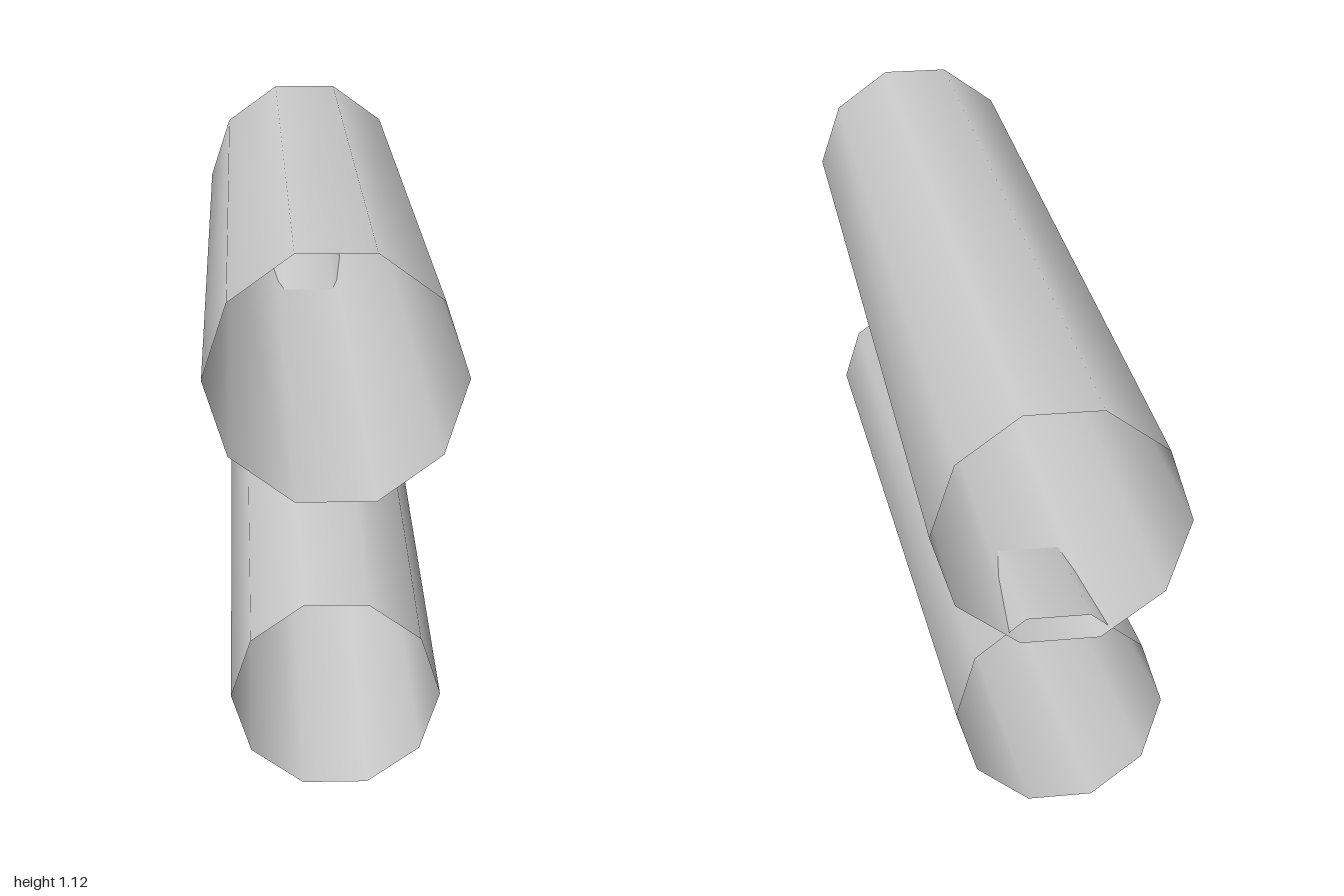
import * as THREE from 'three';

// Open ten-sided tube between two points, with a pair of edges lying level at its sides
function makeTube(name, start, end, radius, material) {
  const axis = new THREE.Vector3().subVectors(end, start);
  const length = axis.length();
  axis.normalize();
  const side = new THREE.Vector3(-axis.z, 0, axis.x).normalize();
  const across = new THREE.Vector3().crossVectors(axis, side);

  const geometry = new THREE.CylinderGeometry(radius, radius, length, 10, 1, true);
  geometry.applyMatrix4(new THREE.Matrix4().makeBasis(across, axis, side));

  const mesh = new THREE.Mesh(geometry, material);
  mesh.name = name;
  mesh.position.addVectors(start, end).multiplyScalar(0.5);
  return mesh;
}

export function createModel() {
  const model = new THREE.Group();
  model.name = 'tubePair';

  const grey = new THREE.MeshStandardMaterial({ color: 0xcccccc, side: THREE.DoubleSide });
  grey.name = 'light grey';

  // Wide level tube on top
  model.add(makeTube('upperTube',
    new THREE.Vector3(-0.811, 0.867, 0.811), new THREE.Vector3(0.811, 0.867, -0.811), 0.266, grey));

  // Narrower sloping tube, its raised end cutting into the upper one
  model.add(makeTube('lowerTube',
    new THREE.Vector3(-0.814, 0.203, 0.814), new THREE.Vector3(0.81, 0.453, -0.81), 0.213, grey));

  return model;
}
